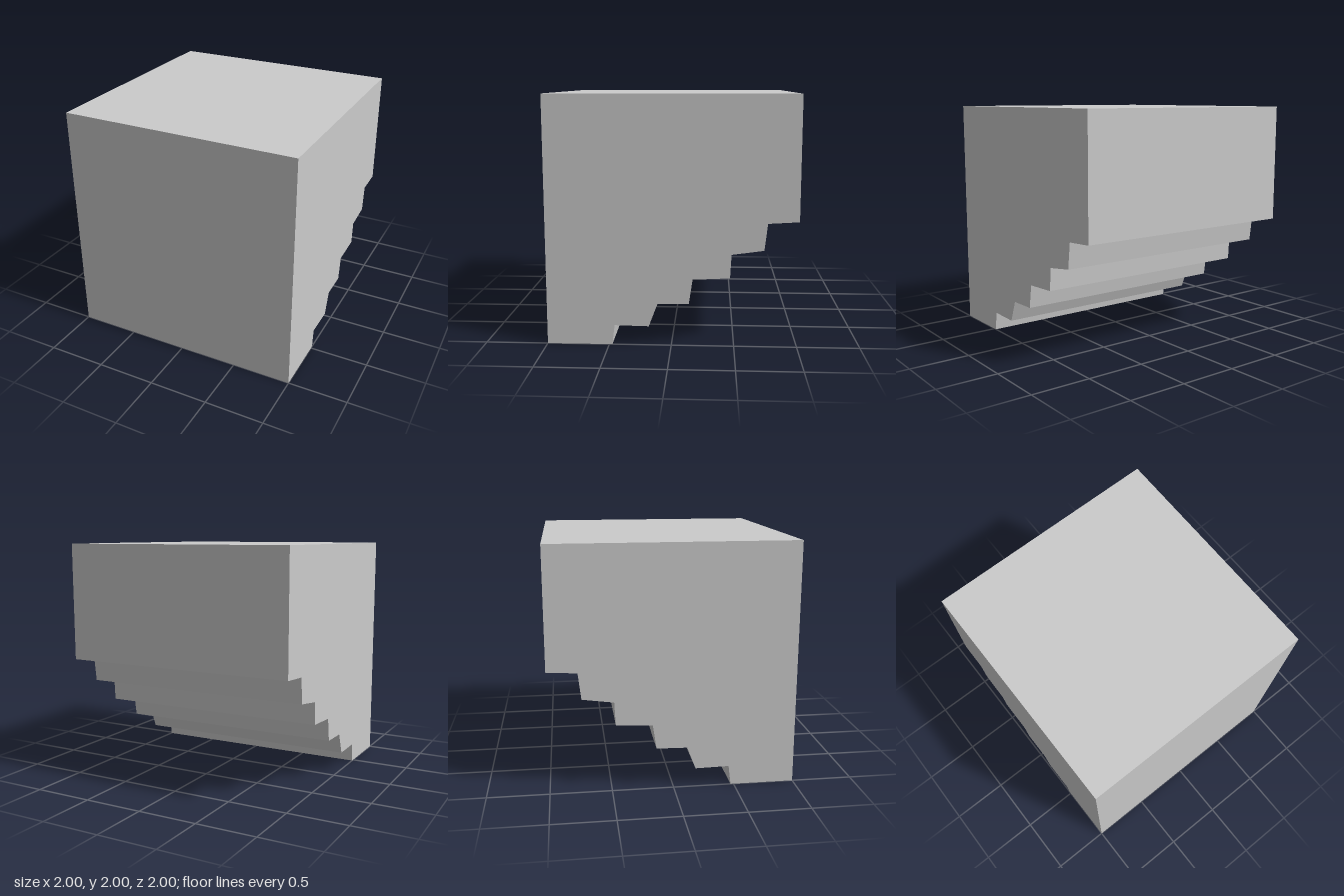
import * as THREE from 'three';

// Side profile as [z, y], running along the underside from front to back
const PROFILE = [
  [1, 2], [1, 0],
  [0.475, 0], [0.455, 0.16],
  [0.18, 0.155], [0.11, 0.34],
  [-0.14, 0.345], [-0.17, 0.545],
  [-0.465, 0.56], [-0.475, 0.75],
  [-0.73, 0.785], [-0.755, 1.0],
  [-1, 1.015], [-1, 2],
];

export function createModel() {
  const group = new THREE.Group();
  group.name = 'steppedBlock';

  // Block with an uneven inverted staircase cut from its lower back
  const shape = new THREE.Shape(PROFILE.map(([z, y]) => new THREE.Vector2(-z, y)));
  const geometry = new THREE.ExtrudeGeometry(shape, { depth: 2, bevelEnabled: false });
  geometry.translate(0, 0, -1);
  geometry.rotateY(Math.PI / 2);

  const block = new THREE.Mesh(
    geometry,
    new THREE.MeshStandardMaterial({ color: 0xcccccc, flatShading: true }),
  );
  block.name = 'block';
  group.add(block);
  return group;
}
